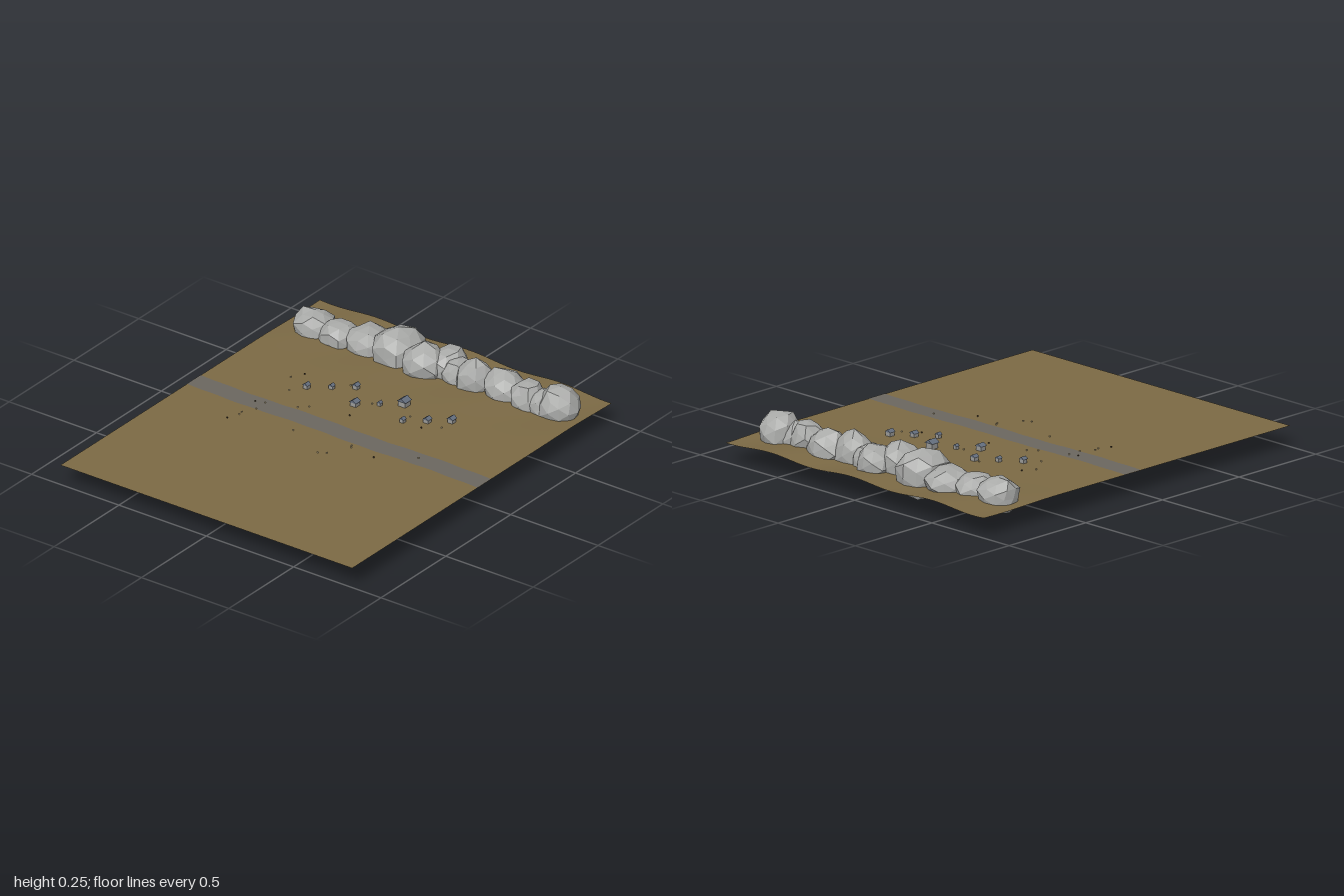
import * as THREE from 'three';

const mat = (name, color, extra = {}) => Object.assign(new THREE.MeshStandardMaterial({ color, ...extra }), { name });

export function createModel() {
  const group = new THREE.Group();
  group.name = 'valleyVillage';
  const earth = mat('earth', 0x7c6a45, { side: THREE.DoubleSide });
  const gravel = mat('gravel', 0x6b675f, { side: THREE.DoubleSide });
  const stone = mat('stone', 0xa9aaa8, { flatShading: true });
  const wall = mat('wall', 0x9a9a98, { flatShading: true });
  const roof = mat('roof', 0x667080, { flatShading: true });
  const pale = mat('pale', 0xd2bf95);
  const dark = mat('dark', 0x4a3c2a);
  const LEVEL = 0.105;

  const add = (name, geo, material, x, y, z, parent = group) => {
    const m = new THREE.Mesh(geo, material);
    m.name = name;
    m.position.set(x, y, z);
    parent.add(m);
    return m;
  };

  // Ground sheet: flat in front, rolling towards the back edge
  const ground = new THREE.PlaneGeometry(1.67, 2, 48, 48).rotateX(-Math.PI / 2);
  const gp = ground.attributes.position;
  for (let i = 0; i < gp.count; i++) {
    const x = gp.getX(i), z = gp.getZ(i);
    const t = THREE.MathUtils.smoothstep(-z, 0.45, 1);
    gp.setY(i, t * 0.008 * Math.sin(x * 12 + z * 5));
  }
  ground.computeVertexNormals();
  add('ground', ground, earth, 0, LEVEL, 0);

  // Road strip with slightly uneven edges
  const road = new THREE.PlaneGeometry(1.67, 0.105, 40, 1).rotateX(-Math.PI / 2);
  const rp = road.attributes.position;
  for (let i = 0; i < rp.count; i++) {
    const x = rp.getX(i);
    rp.setZ(i, rp.getZ(i) + 0.004 * Math.sin(x * 9) + 0.002 * Math.sin(x * 31));
  }
  add('road', road, gravel, 0, LEVEL + 0.002, -0.022);

  // Faceted boulder: each corner is pushed in or out by a hash of its position
  const boulder = (seed) => {
    const geo = new THREE.IcosahedronGeometry(1, 1);
    const p = geo.attributes.position, v = new THREE.Vector3();
    for (let i = 0; i < p.count; i++) {
      v.fromBufferAttribute(p, i);
      const key = Math.round(v.x * 100) * 12.9 + Math.round(v.y * 100) * 78.2 + Math.round(v.z * 100) * 37.7;
      const h = Math.sin(key + seed * 17.3) * 43758.5;
      v.multiplyScalar(0.86 + 0.2 * (h - Math.floor(h)));
      p.setXYZ(i, v.x, v.y, v.z);
    }
    geo.computeVertexNormals();
    return geo;
  };

  // Ridge of boulders: x, y, z, radii in x, y, z
  const ridge = [
    [-0.685, 0.125, -0.75, 0.11, 0.09, 0.105], [-0.53, 0.115, -0.745, 0.10, 0.09, 0.10],
    [-0.385, 0.12, -0.775, 0.12, 0.095, 0.115], [-0.215, 0.132, -0.775, 0.13, 0.125, 0.138],
    [-0.045, 0.13, -0.745, 0.115, 0.115, 0.11], [0.045, 0.125, -0.805, 0.10, 0.10, 0.11],
    [0.125, 0.115, -0.775, 0.085, 0.09, 0.09], [0.235, 0.13, -0.765, 0.10, 0.11, 0.09],
    [0.385, 0.118, -0.785, 0.11, 0.11, 0.105], [0.535, 0.12, -0.765, 0.095, 0.105, 0.085],
    [0.62, 0.115, -0.765, 0.08, 0.085, 0.08], [0.7, 0.135, -0.785, 0.105, 0.105, 0.105],
  ];
  ridge.forEach(([x, y, z, a, b, c], i) => {
    add('boulder', boulder(i + 1), stone, x, y, z).scale.set(a, b, c);
  });

  // Huts in three staggered rows: x, z, width, height
  const huts = [
    [-0.37, -0.272, 0.03, 0.03], [-0.275, -0.338, 0.026, 0.026], [-0.185, -0.405, 0.032, 0.03],
    [-0.092, -0.27, 0.04, 0.034], [0, -0.338, 0.022, 0.025], [0.09, -0.405, 0.05, 0.043],
    [0.18, -0.272, 0.026, 0.027], [0.272, -0.338, 0.034, 0.029], [0.362, -0.405, 0.036, 0.032],
  ];
  const gable = new THREE.Shape([[-0.5, 0], [0.5, 0], [0, 0.4]].map(([x, y]) => new THREE.Vector2(x, y)));
  const roofGeo = new THREE.ExtrudeGeometry(gable, { depth: 1, bevelEnabled: false }).translate(0, 0, -0.5);
  for (const [x, z, w, h] of huts) {
    const hut = new THREE.Group();
    hut.name = 'hut';
    hut.position.set(x, LEVEL, z);
    group.add(hut);
    const wallH = h * 0.62;
    add('hutWalls', new THREE.BoxGeometry(w * 0.8, wallH, w * 0.8), wall, 0, wallH / 2, 0, hut);
    add('hutRoof', roofGeo, roof, 0, wallH, 0, hut).scale.set(w, h, w);
  }

  // Scattered specks around the road: x, z
  const specks = [
    [-0.455, -0.37], [-0.49, -0.31], [-0.22, -0.41], [0.36, -0.33], [0.285, -0.275], [-0.25, -0.13],
    [-0.29, -0.095], [-0.435, -0.04], [-0.48, -0.025], [-0.435, 0.03], [-0.47, 0.095], [-0.465, 0.12],
    [-0.49, 0.18], [-0.175, 0.095], [0.13, 0.055], [0.14, 0.07], [0.28, 0.085], [0.08, 0.18],
    [0.045, 0.2], [0.45, -0.03], [-0.05, -0.175], [-0.035, -0.325], [-0.42, -0.205], [0.18, -0.33],
  ];
  const speckGeo = new THREE.BoxGeometry(0.005, 0.006, 0.005);
  specks.forEach(([x, z], i) => add('speck', speckGeo, i % 4 === 0 ? dark : pale, x, LEVEL + 0.004, z));

  return group;
}
